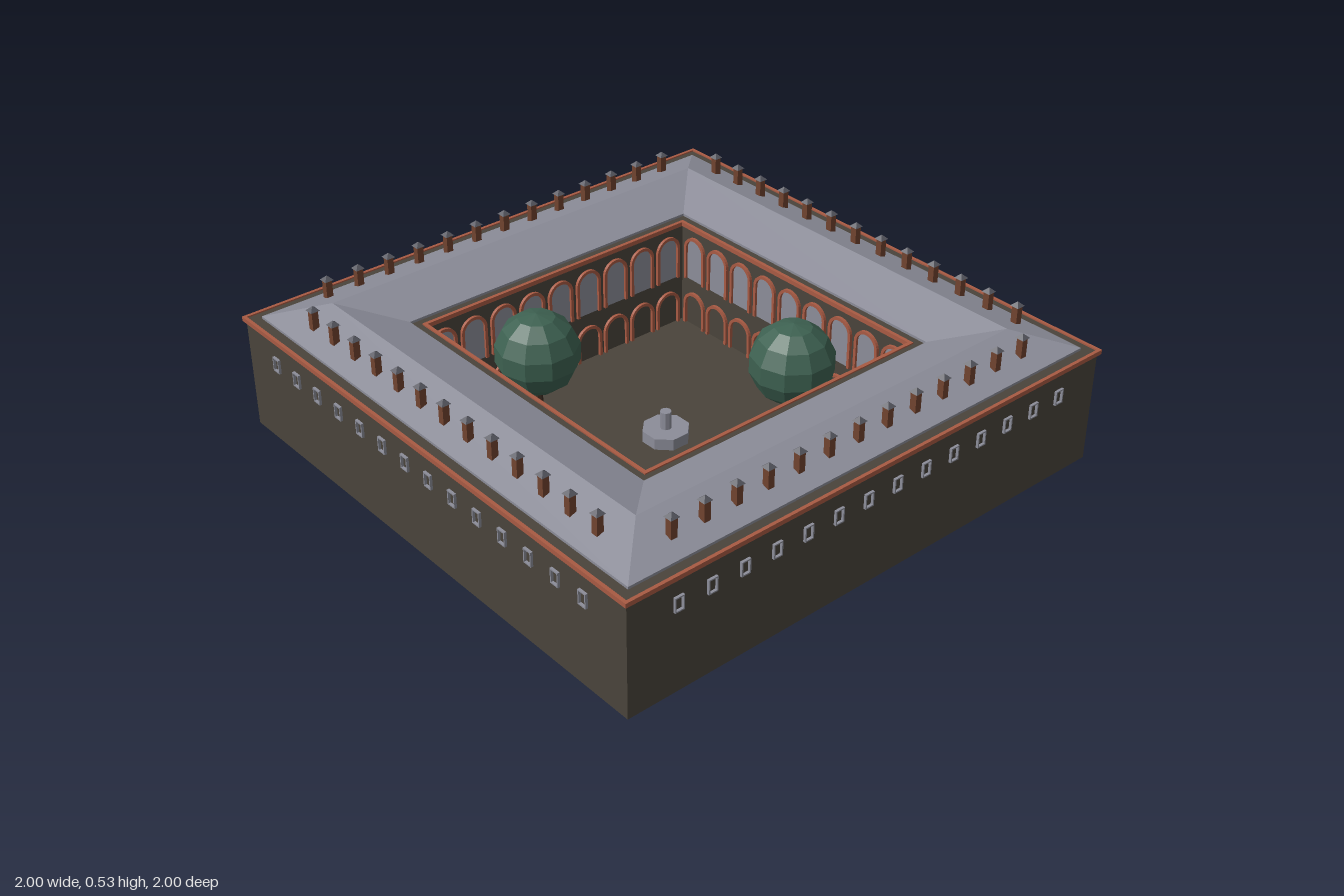
import * as THREE from 'three';

const mat = (name, color) => {
  const m = new THREE.MeshStandardMaterial({ color, flatShading: true });
  m.name = name;
  return m;
};

export function createModel() {
  const model = new THREE.Group();
  model.name = 'courtyardPalace';
  const wall = mat('dark plaster', 0x4a443b);
  const slate = mat('grey roof stone', 0x8c8d99);
  const brick = mat('terracotta', 0xa85a43);
  const chimneyBrown = mat('chimney brick', 0x71432f);
  const capGrey = mat('chimney cap grey', 0x55565f);
  const leaf = mat('foliage green', 0x3d6151);
  const bark = mat('bark', 0x3a2a20);

  const add = (parent, name, geo, material, x = 0, y = 0, z = 0) => {
    const m = new THREE.Mesh(geo, material);
    m.name = name;
    m.position.set(x, y, z);
    parent.add(m);
    return m;
  };

  // Rectangle outline with a rectangular hole, extruded
  const frameGeo = (w, h, iw, ih, depth) => {
    const rect = (P, a, b) => new P([[-a, -b], [a, -b], [a, b], [-a, b]].map(([x, y]) => new THREE.Vector2(x / 2, y / 2)));
    const s = rect(THREE.Shape, w, h);
    s.holes.push(rect(THREE.Path, iw, ih));
    return new THREE.ExtrudeGeometry(s, { depth, bevelEnabled: false });
  };
  const squareRing = (outer, inner, depth) =>
    frameGeo(outer * 2, outer * 2, inner * 2, inner * 2, depth).rotateX(-Math.PI / 2);

  // Wings, courtyard floor and cornices
  add(model, 'wings', squareRing(0.99, 0.57, 0.415), wall);
  add(model, 'courtyardFloor', new THREE.BoxGeometry(1.16, 0.008, 1.16), wall, 0, 0.004, 0);
  add(model, 'outerCornice', squareRing(1, 0.988, 0.016), brick, 0, 0.404, 0);
  add(model, 'innerCornice', squareRing(0.571, 0.558, 0.016), brick, 0, 0.404, 0);

  // Hipped roof running round the court
  const roofProfile = [[0.952, 0.412], [0.952, 0.424], [0.78, 0.485], [0.6, 0.424], [0.6, 0.412]]
    .map(([r, y]) => new THREE.Vector2(r * Math.SQRT2, y));
  add(model, 'roof', new THREE.LatheGeometry(roofProfile, 4, Math.PI / 4), slate);

  // Half-round arch band and its two posts, standing on y = 0
  const archBand = (r, t, depth) => {
    const s = new THREE.Shape();
    s.absarc(0, 0, r + t, 0, Math.PI, false);
    s.absarc(0, 0, r, Math.PI, 0, true);
    return new THREE.ExtrudeGeometry(s, { depth, bevelEnabled: false, curveSegments: 8 });
  };
  const arch = (parent, name, x, y, z, r, t, spring, depth, postMaterial) => {
    const g = new THREE.Group();
    g.name = name;
    g.position.set(x, y, z);
    parent.add(g);
    add(g, 'archBand', archBand(r, t, depth), brick, 0, spring, 0);
    for (const s of [-1, 1])
      add(g, 'archPost', new THREE.BoxGeometry(t, spring, depth), postMaterial, s * (r + t / 2), spring / 2, depth / 2);
    return g;
  };

  // Arched window pane for the upper gallery
  const paneShape = new THREE.Shape();
  paneShape.moveTo(-0.042, 0);
  paneShape.lineTo(0.042, 0);
  paneShape.lineTo(0.042, 0.125);
  paneShape.absarc(0, 0.125, 0.042, 0, Math.PI, false);
  const paneGeo = new THREE.ExtrudeGeometry(paneShape, { depth: 0.003, bevelEnabled: false, curveSegments: 8 });

  const windowGeo = frameGeo(0.035, 0.052, 0.026, 0.043, 0.01);
  const chimneyGeo = new THREE.BoxGeometry(0.024, 0.085, 0.024);
  const capGeo = new THREE.ConeGeometry(0.024, 0.016, 4).rotateY(Math.PI / 4);

  // Four matching sides
  for (let i = 0; i < 4; i++) {
    const side = new THREE.Group();
    side.name = ['front', 'left', 'back', 'right'][i] + 'Side';
    side.rotation.y = i * Math.PI / 2;
    model.add(side);
    for (let k = 0; k < 14; k++)
      add(side, 'windowFrame', windowGeo, slate, (k - 6.5) * 0.124, 0.318, 0.989);
    for (let k = 0; k < 13; k++) {
      const x = (k - 6) * 0.1225;
      add(side, 'chimney', chimneyGeo, chimneyBrown, x, 0.4725, 0.88);
      add(side, 'chimneyCap', capGeo, capGrey, x, 0.5225, 0.88);
    }
    // Courtyard face: lower arcade and glazed upper gallery, facing inward
    for (let k = 0; k < 9; k++) {
      const x = (k - 4) * 0.124;
      arch(side, 'lowerArch', x, 0, -0.571, 0.044, 0.011, 0.09, 0.012, brick);
      arch(side, 'galleryArch', x, 0.195, -0.571, 0.042, 0.011, 0.125, 0.012, brick);
      add(side, 'galleryPane', paneGeo, slate, x, 0.195, -0.571);
    }
  }

  // Gateway in the back wall
  const gate = arch(model, 'gateway', 0, 0, -0.987, 0.078, 0.014, 0.13, 0.012, slate);
  gate.rotation.y = Math.PI;

  // Courtyard trees
  for (const [x, z] of [[-0.31, -0.29], [0.285, 0.305]]) {
    const tree = new THREE.Group();
    tree.name = 'tree';
    tree.position.set(x, 0, z);
    model.add(tree);
    add(tree, 'trunk', new THREE.CylinderGeometry(0.011, 0.015, 0.24, 6), bark, 0, 0.12, 0);
    add(tree, 'crown', new THREE.SphereGeometry(0.147, 10, 7), leaf, 0, 0.337, 0);
  }

  // Octagonal well in the middle
  const well = new THREE.Group();
  well.name = 'well';
  model.add(well);
  add(well, 'wellBasin', new THREE.CylinderGeometry(0.083, 0.083, 0.05, 8).rotateY(Math.PI / 8), slate, 0, 0.025, 0);
  add(well, 'wellPost', new THREE.CylinderGeometry(0.02, 0.02, 0.07, 8), slate, 0, 0.08, 0);

  return model;
}
